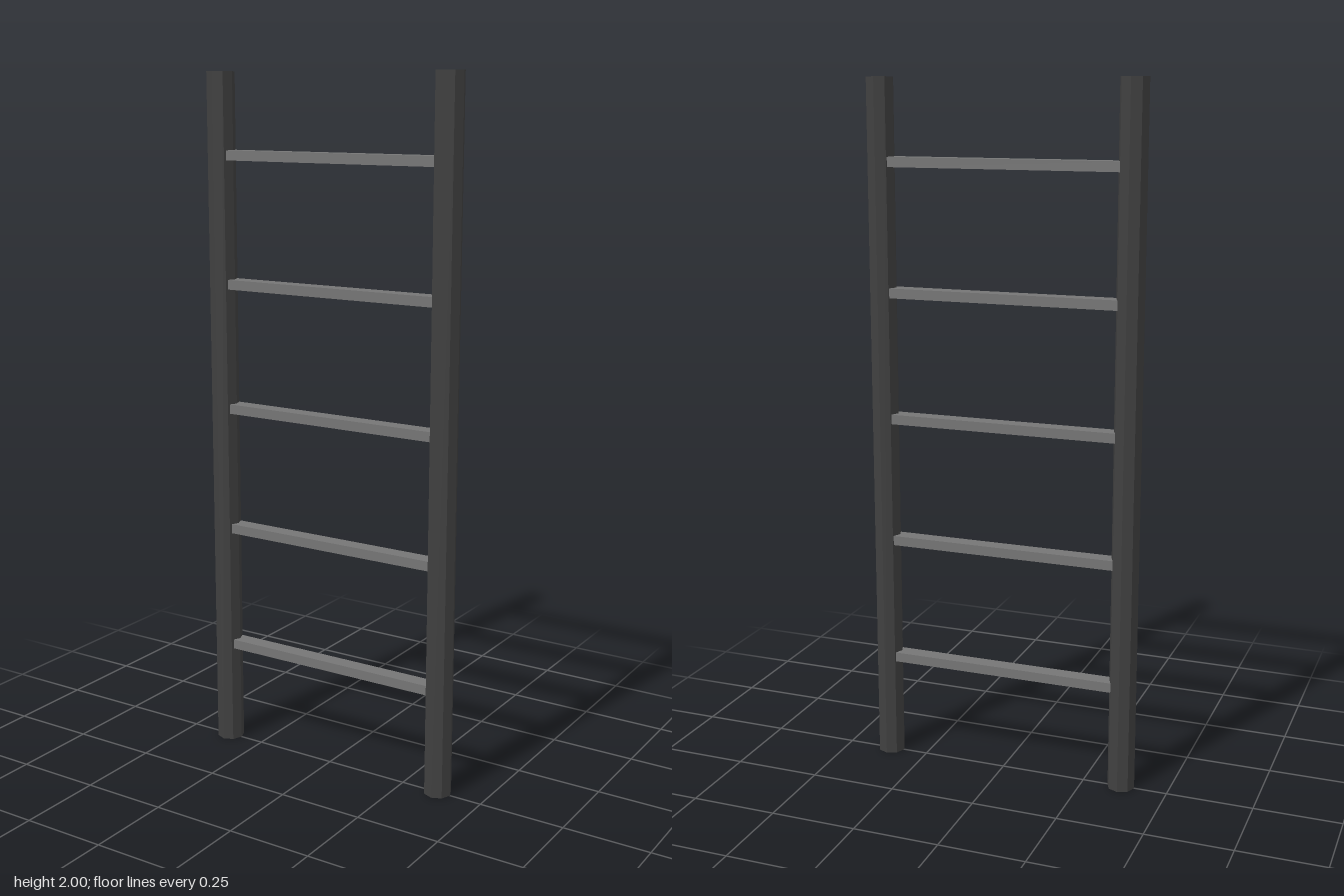
import * as THREE from 'three';

export function createModel() {
  const ladder = new THREE.Group();
  ladder.name = 'ladder';

  const darkGrey = new THREE.MeshStandardMaterial({ color: 0x404040, flatShading: true });
  darkGrey.name = 'dark grey';
  const midGrey = new THREE.MeshStandardMaterial({ color: 0x757575, flatShading: true });
  midGrey.name = 'mid grey';

  // Two eight-sided upright rails
  const railGeometry = new THREE.CylinderGeometry(0.04, 0.04, 2, 8);
  for (const [name, side] of [['leftRail', 1], ['rightRail', -1]]) {
    const rail = new THREE.Mesh(railGeometry, darkGrey);
    rail.name = name;
    rail.position.set(side * 0.364, 1, 0);
    ladder.add(rail);
  }

  // Five flat rungs, their ends sunk into the rails
  const rungGeometry = new THREE.BoxGeometry(0.7, 0.028, 0.047);
  for (let i = 0; i < 5; i++) {
    const rung = new THREE.Mesh(rungGeometry, midGrey);
    rung.name = `rung${i + 1}`;
    rung.position.set(0, 0.31 + i * 0.365, -0.002);
    ladder.add(rung);
  }

  return ladder;
}
